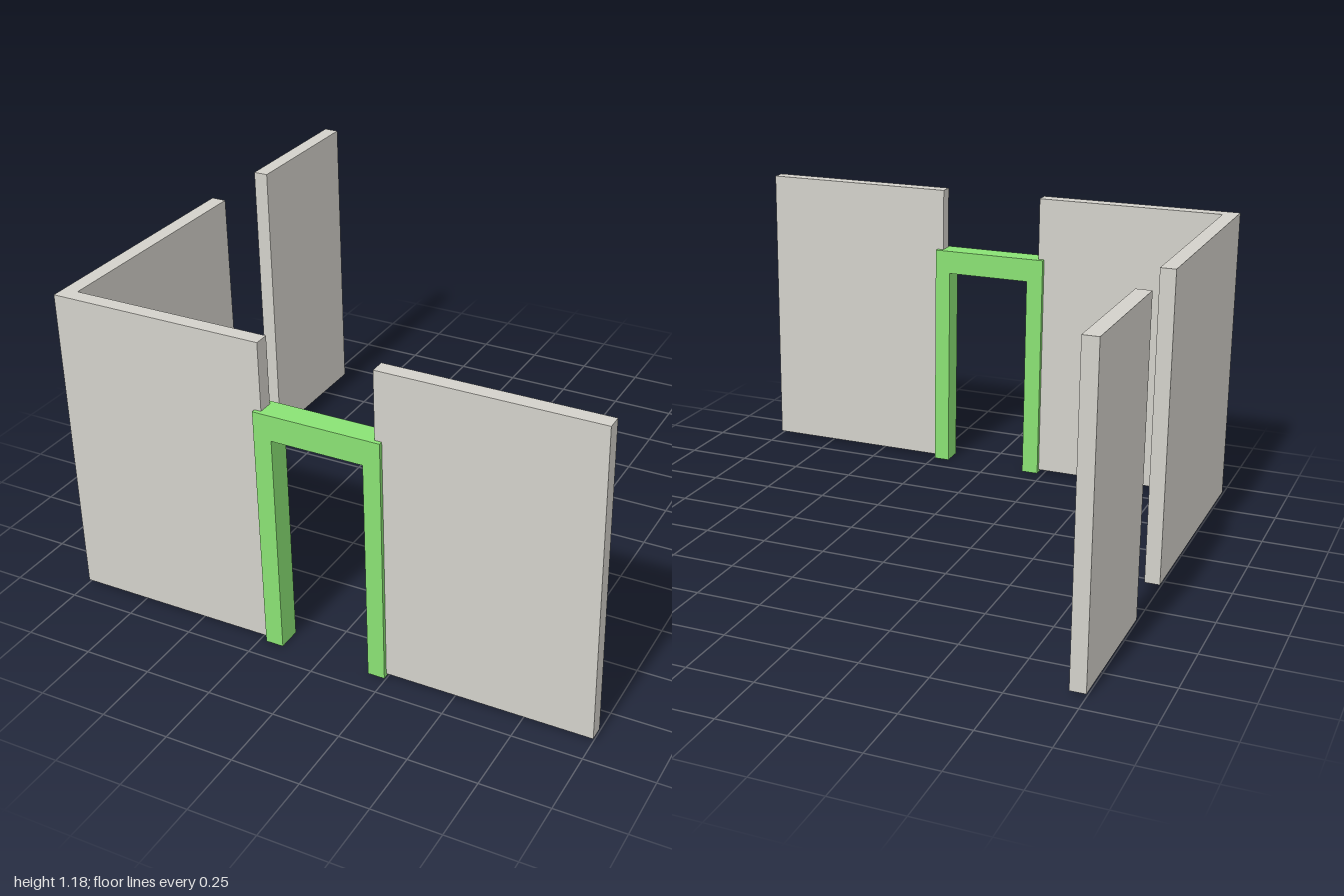
import * as THREE from 'three';

const plaster = new THREE.MeshStandardMaterial({ name: 'plaster grey', color: 0xd3d1ca });
const paint = new THREE.MeshStandardMaterial({ name: 'door green', color: 0x8ae274 });

const WALL_BOTTOM = 0.011, WALL_TOP = 1.175;

// Extrudes a polygon outline along +z
function extrude(points, depth, material, name) {
  const shape = new THREE.Shape(points.map(([x, y]) => new THREE.Vector2(x, y)));
  const mesh = new THREE.Mesh(new THREE.ExtrudeGeometry(shape, { depth, bevelEnabled: false }), material);
  mesh.name = name;
  return mesh;
}

// Raises a wall from its floor plan, given as [x, z] corners
function wall(name, plan) {
  const mesh = extrude(plan.map(([x, z]) => [x, -z]), WALL_TOP - WALL_BOTTOM, plaster, name);
  mesh.rotation.x = -Math.PI / 2;
  mesh.position.y = WALL_BOTTOM;
  return mesh;
}

export function createModel() {
  const model = new THREE.Group();
  model.name = 'roomWalls';

  // L-shaped corner wall, right of the doorway
  model.add(wall('cornerWall', [
    [-1, 0.908], [-0.2, 0.908], [-0.2, 0.853], [-0.943, 0.853], [-0.943, -0.057], [-1, -0.057],
  ]));

  // Front wall, left of the doorway
  model.add(wall('frontWall', [[0.218, 0.908], [1, 0.908], [1, 0.853], [0.218, 0.853]]));

  // Separate piece of side wall at the back
  model.add(wall('backWall', [[-1, -0.357], [-0.943, -0.357], [-0.943, -0.923], [-1, -0.923]]));

  // Door frame: two posts and a lintel in one piece
  const frame = extrude([
    [-0.225, 0], [-0.158, 0], [-0.158, 0.831], [0.181, 0.831],
    [0.181, 0], [0.244, 0], [0.244, 0.925], [-0.225, 0.925],
  ], 0.089, paint, 'doorFrame');
  frame.position.z = 0.834;
  model.add(frame);

  return model;
}
